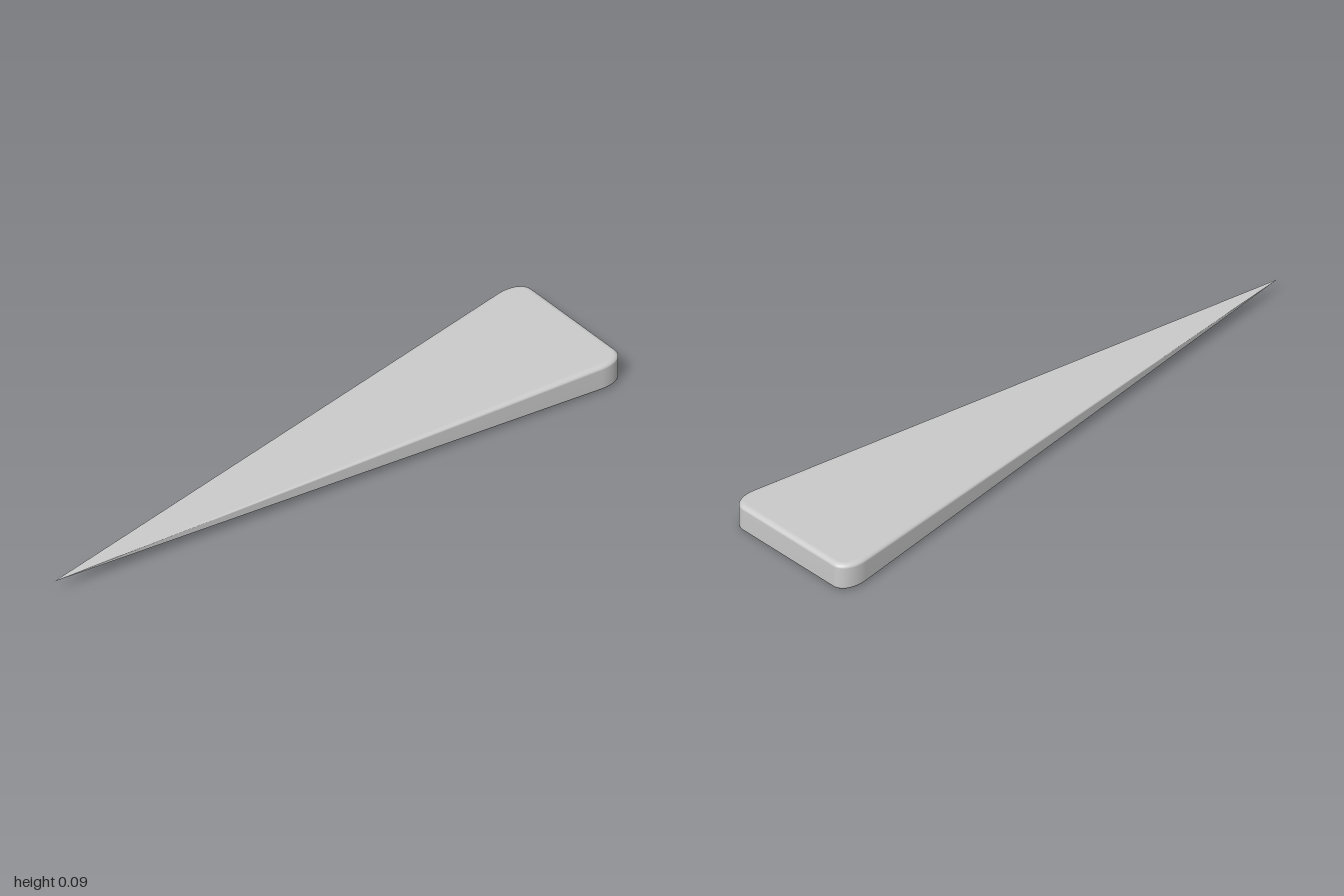
import * as THREE from 'three';

const HALF_WIDTH = 0.257, HALF_HEIGHT = 0.0468, CENTRE_Y = 0.046;
const EDGE = 0.02, EDGE_Y = 0.013; // rounding of the long edges
const CORNER_X = 0.09, CORNER_Z = 0.06; // rounding of the two wide corners
const STEPS = 12, EDGE_STEPS = 6;

// Plan outline, pulled in by the edge rounding: tip, +z corner, -z corner, tip
function outline(inset) {
  const side = [];
  for (let i = 0; i <= STEPS; i++) {
    const a = (i / STEPS) * Math.PI / 2;
    side.push([
      1 - CORNER_X + (CORNER_X - inset) * Math.sin(a),
      HALF_WIDTH - CORNER_Z + (CORNER_Z - inset) * Math.cos(a),
    ]);
  }
  const other = side.map(([x, z]) => [x, -z]).reverse();
  return [[-1, HALF_WIDTH - inset], ...side, ...other, [-1, inset - HALF_WIDTH]];
}

// Layers from bottom to top, each one tapering linearly to the tip
function wedgeGeometry() {
  const layers = [];
  for (const s of [-1, 1]) {
    for (let i = 0; i <= EDGE_STEPS; i++) {
      const t = s < 0 ? 1 - i / EDGE_STEPS : i / EDGE_STEPS;
      const a = t * Math.PI / 2;
      layers.push({
        inset: EDGE * (1 - Math.cos(a)),
        y: s * (HALF_HEIGHT - EDGE_Y + EDGE_Y * Math.sin(a)),
      });
    }
  }
  const positions = [], index = [];
  let n = 0;
  for (const { inset, y } of layers) {
    const ring = outline(inset);
    n = ring.length;
    for (const [x, z] of ring) {
      const taper = (x + 1) / 2;
      positions.push(x, CENTRE_Y + y * taper, z * taper);
    }
  }
  // Rounded sides
  for (let k = 0; k < layers.length - 1; k++) {
    for (let j = 0; j < n - 1; j++) {
      const a = k * n + j, b = a + 1, c = b + n, d = a + n;
      index.push(a, b, c, a, c, d);
    }
  }
  // Flat bottom and top
  const top = (layers.length - 1) * n;
  for (let j = 1; j < n - 2; j++) {
    index.push(0, j + 1, j);
    index.push(top, top + j, top + j + 1);
  }
  const geometry = new THREE.BufferGeometry();
  geometry.setAttribute('position', new THREE.Float32BufferAttribute(positions, 3));
  geometry.setIndex(index);
  geometry.computeVertexNormals();
  return geometry;
}

export function createModel() {
  const group = new THREE.Group();
  group.name = 'taperedWedge';
  const wedge = new THREE.Mesh(
    wedgeGeometry(),
    new THREE.MeshStandardMaterial({ color: 0xcccccc })
  );
  wedge.name = 'wedge';
  group.add(wedge);
  return group;
}
